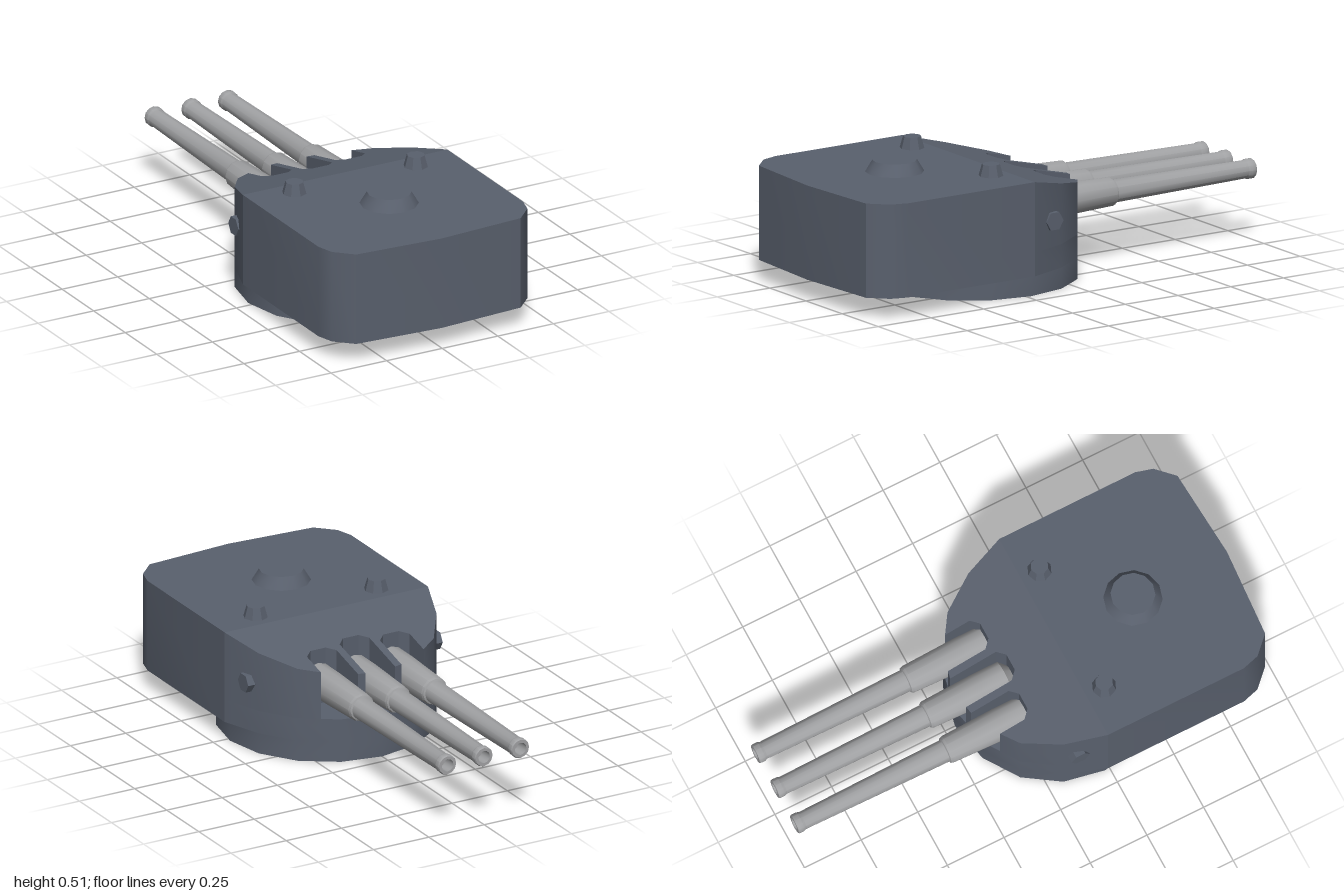
import * as THREE from 'three';
import { toCreasedNormals } from 'three/addons/utils/BufferGeometryUtils.js';

const armour = new THREE.MeshStandardMaterial({ color: 0x59606d });
armour.name = 'slate armour';
const gunMetal = new THREE.MeshStandardMaterial({ color: 0xa0a1a3 });
gunMetal.name = 'light gun metal';

const RING_Z = 0.23, RING_R = 0.435, ROOF = 0.465, FLOOR = 0.085, SILL = 0.18;
const GUN_Y = 0.287;
const GUNS = [{ x: -0.165, back: 0.01 }, { x: 0, back: 0.04 }, { x: 0.165, back: 0.01 }];

// roof is level at the rear and slopes down towards the guns
const roofAt = z => ROOF - Math.max(0, RING_Z - z) * 0.244;

// upright prism from plan points [x, z]; the top may follow the roof
function prism(points, y0, y1, followRoof = false) {
  const shape = new THREE.Shape(points.map(([x, z]) => new THREE.Vector2(x, -z)));
  const geo = new THREE.ExtrudeGeometry(shape, { depth: y1 - y0, bevelEnabled: false });
  geo.rotateX(-Math.PI / 2);
  geo.translate(0, y0, 0);
  if (followRoof) {
    const p = geo.attributes.position;
    for (let i = 0; i < p.count; i++) {
      if (p.getY(i) > (y0 + y1) / 2) p.setY(i, roofAt(p.getZ(i)));
    }
  }
  return toCreasedNormals(geo, 0.6);
}

function add(parent, name, geo, material, x = 0, y = 0, z = 0) {
  const mesh = new THREE.Mesh(geo, material);
  mesh.name = name;
  mesh.position.set(x, y, z);
  parent.add(mesh);
  return mesh;
}

const frustum = (top, bottom, height, sides) =>
  toCreasedNormals(new THREE.CylinderGeometry(top, bottom, height, sides), 0.6);

export function createModel() {
  const turret = new THREE.Group();
  turret.name = 'gunTurret';

  // round base ring
  add(turret, 'baseRing', frustum(RING_R, RING_R, FLOOR, 16), armour, 0, FLOOR / 2, RING_Z);

  // rear of the gun house, with rounded corners and a slightly pointed back
  const rearHalf = [[0.46, RING_Z], [0.46, 0.83], [0.44, 0.9], [0.37, 0.97]];
  const mirror = pts => pts.map(([x, z]) => [-x, z]).reverse();
  add(turret, 'rearHouse', prism([...rearHalf, [0, 0.995], ...mirror(rearHalf)], FLOOR, ROOF), armour);

  // curved front wall, following the base ring
  const arc = a => [RING_R * Math.cos(a), RING_Z - RING_R * Math.sin(a)];
  const side = [[0.46, RING_Z], arc(Math.PI / 8), arc(Math.PI / 4)];
  const nose = [arc(Math.PI * 3 / 8), [0, RING_Z - RING_R]];
  add(turret, 'frontSkirt',
    prism([...side, ...nose, ...mirror([...side, nose[0]])], FLOOR, SILL), armour);

  // front z of the wall at a given x, used for the mouths of the gun slots
  const wallZ = x => {
    const ax = Math.abs(x), [a, b, c] = [side[2], nose[0], nose[1]];
    const [p, q] = ax > b[0] ? [a, b] : [b, c];
    return p[1] + (q[1] - p[1]) * (ax - p[0]) / (q[0] - p[0]);
  };

  // upper front with three open slots for the guns
  const slots = [...GUNS].reverse().flatMap(({ x, back }) => [
    [x + 0.067, wallZ(x + 0.067)], [x + 0.067, back - 0.03], [x + 0.035, back],
    [x - 0.035, back], [x - 0.067, back - 0.03], [x - 0.067, wallZ(x - 0.067)],
  ]);
  add(turret, 'slottedFront', prism([...side, ...slots, ...mirror(side)], SILL, ROOF, true), armour);

  // guns: jacket, tapered barrel, muzzle lip and hollow bore
  const profile = [
    [0.03, -0.045], [0.066, -0.01], [0.066, 0.1], [0.058, 0.325], [0.054, 0.335], [0.047, 0.338],
    [0.037, 0.965], [0.041, 0.975], [0.041, 0.995], [0.038, 1], [0.026, 1], [0.026, 0.94], [0, 0.94],
  ].map(([r, y]) => new THREE.Vector2(r, y));
  const gunGeo = toCreasedNormals(new THREE.LatheGeometry(profile, 12).rotateX(-Math.PI / 2), 0.6);
  for (const { x } of GUNS) add(turret, 'gun', gunGeo, gunMetal, x, GUN_Y, 0);

  // roof hatch and two small periscope housings
  add(turret, 'roofHatch', frustum(0.088, 0.118, 0.05, 12), armour, 0, ROOF + 0.022, 0.58);
  const periscope = frustum(0.036, 0.05, 0.05, 8);
  // hexagonal sights on both sides
  const sight = new THREE.CylinderGeometry(0.04, 0.04, 0.08, 6).toNonIndexed();
  sight.rotateZ(Math.PI / 2);
  const sightGeo = toCreasedNormals(sight, 0.6);
  for (const s of [-1, 1]) {
    add(turret, 'periscope', periscope, armour, s * 0.273, ROOF + 0.022, 0.31);
    add(turret, 'sideSight', sightGeo, armour, s * 0.4, GUN_Y, 0.12);
  }
  return turret;
}
